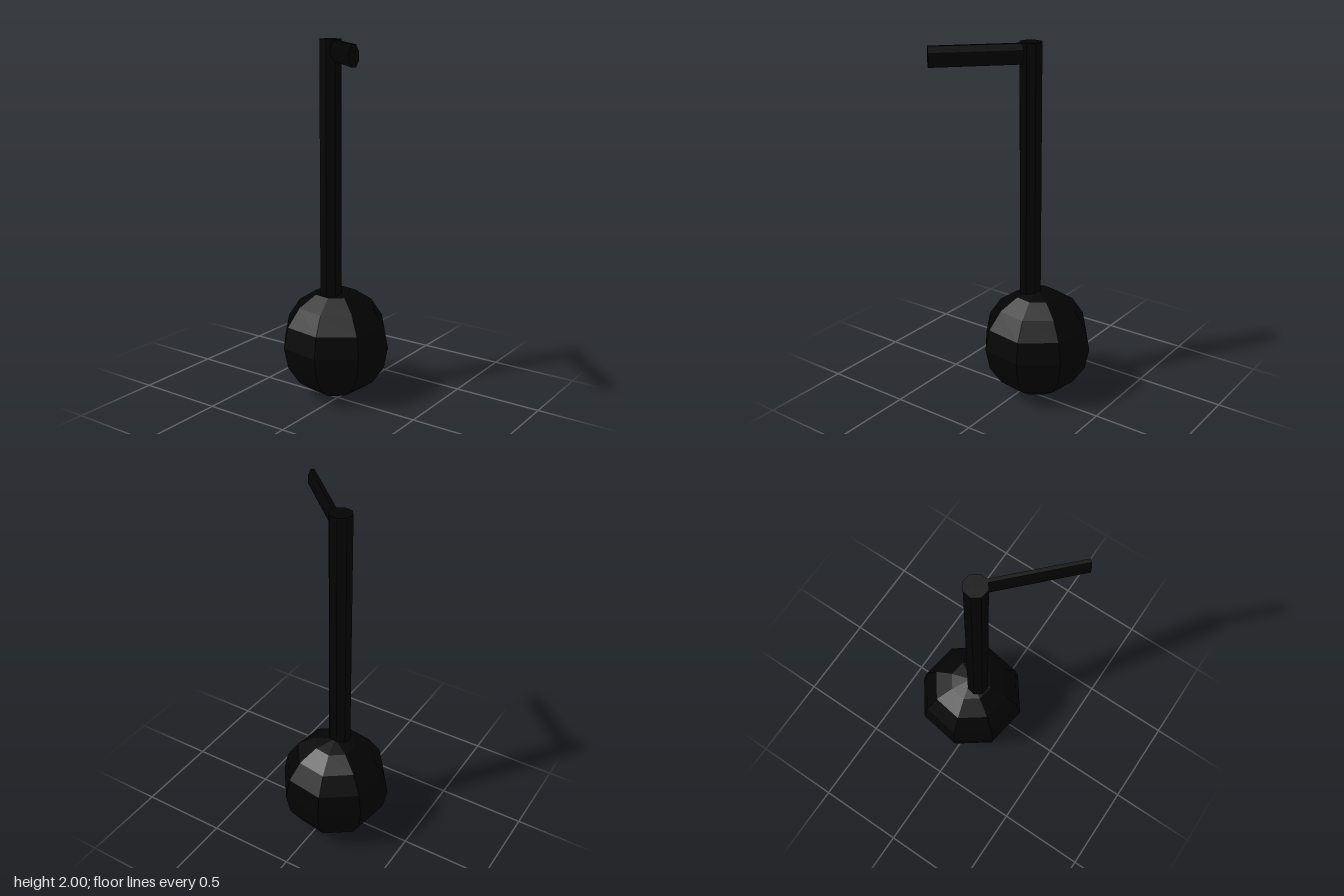
import * as THREE from 'three';

export function createModel() {
  const model = new THREE.Group();
  const black = new THREE.MeshStandardMaterial({ color: 0x030303, flatShading: true });
  const TURN = 0.24; // shared twist of the eight-sided head and stem

  function add(name, geometry, x, y, z, turn) {
    const mesh = new THREE.Mesh(geometry, black);
    mesh.name = name;
    mesh.position.set(x, y, z);
    mesh.rotation.y = turn;
    model.add(mesh);
  }

  // Faceted ball at the foot
  add('noteHead', new THREE.SphereGeometry(0.313, 8, 8), -0.055, 0.313, -0.06, TURN);

  // Upright stem, sunk into the ball
  const stemBottom = 0.4;
  add('stem', new THREE.CylinderGeometry(0.0625, 0.0625, 2 - stemBottom, 8),
    -0.055, (2 + stemBottom) / 2, -0.013, TURN);

  // Flattened eight-sided arm, reaching forward and to the left from the stem top
  const start = new THREE.Vector2(-0.03, -0.01);
  const end = new THREE.Vector2(0.338, 0.343);
  const arm = new THREE.CylinderGeometry(0.0585, 0.0585, start.distanceTo(end), 8);
  arm.rotateY(Math.PI / 8);
  arm.scale(1, 1, 0.445);
  arm.rotateZ(-Math.PI / 2);
  add('flag', arm, (start.x + end.x) / 2, 1.943, (start.y + end.y) / 2,
    -Math.atan2(end.y - start.y, end.x - start.x));

  return model;
}
